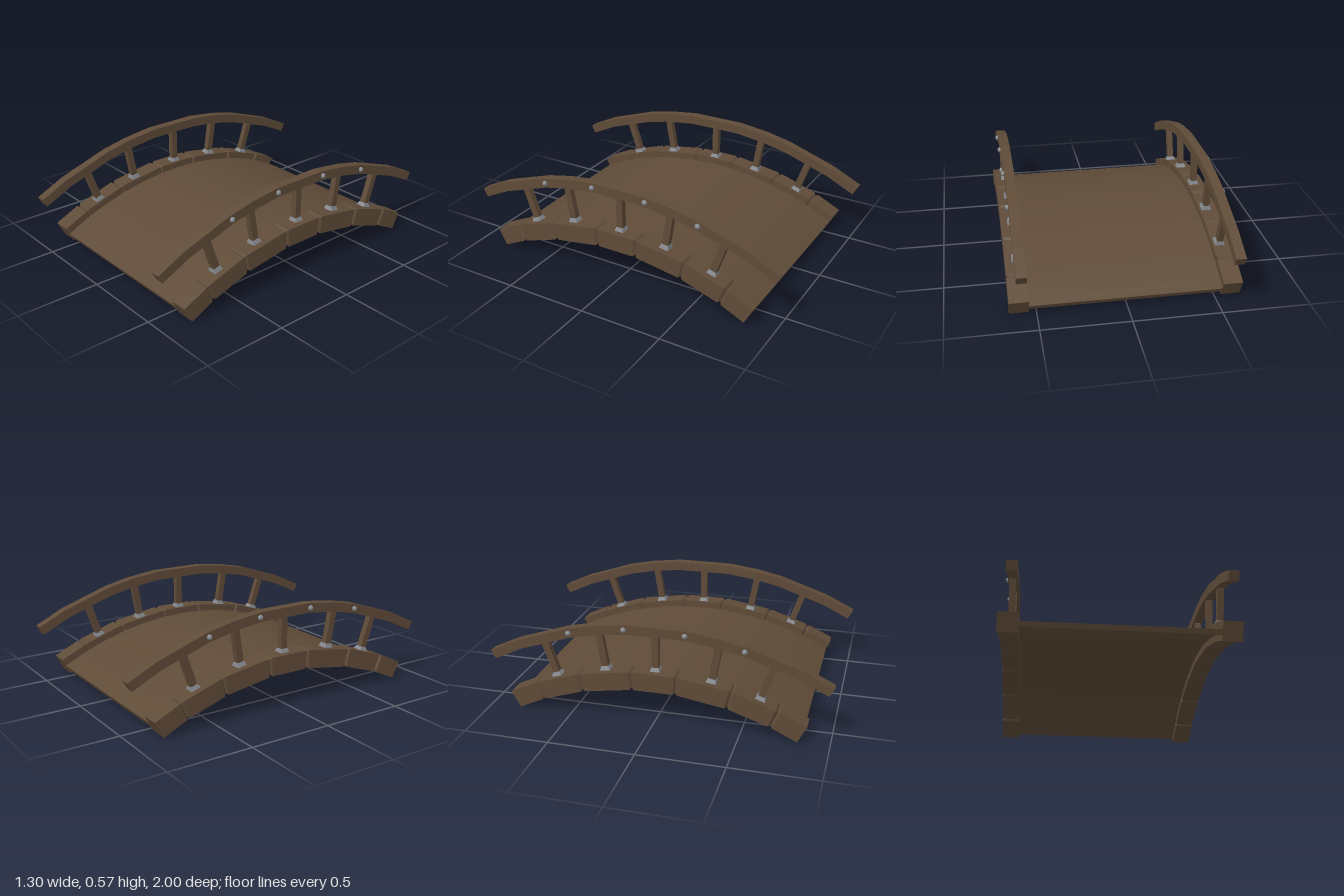
import * as THREE from 'three';
import { toCreasedNormals } from 'three/addons/utils/BufferGeometryUtils.js';

// Everything is set out radially around one arch centre below the ground.
const CENTRE_Y = -1.544;

const wood = new THREE.MeshStandardMaterial({ color: 0x5f4b38 });
wood.name = 'wood';
const metal = new THREE.MeshStandardMaterial({ color: 0x84888e });
metal.name = 'metal';

// Point on the arch: angle from vertical towards +z, at radius r
const arch = (angle, r) => ({ a: angle, y: CENTRE_Y + r * Math.cos(angle), z: r * Math.sin(angle) });

const mix = (p, q, t) => ({ a: p.a + (q.a - p.a) * t, y: p.y + (q.y - p.y) * t, z: p.z + (q.z - p.z) * t });

// Rectangular sections swept from -z to +z, with closed ends and flat faces
function loft(sections) {
  const pos = [];
  const rings = sections.map(({ a, y, z, w, h }) =>
    [[w, h], [-w, h], [-w, -h], [w, -h]].map(([x, n]) => [x, y + n * Math.cos(a), z + n * Math.sin(a)]));
  const quad = (a, b, c, d) => pos.push(...a, ...b, ...c, ...a, ...c, ...d);
  for (let i = 0; i < rings.length - 1; i++) {
    const p = rings[i], q = rings[i + 1];
    for (let k = 0; k < 4; k++) {
      const n = (k + 1) % 4;
      quad(p[k], p[n], q[n], q[k]);
    }
  }
  const s = rings[0], e = rings[rings.length - 1];
  quad(s[3], s[2], s[1], s[0]);
  quad(e[0], e[1], e[2], e[3]);
  const geo = new THREE.BufferGeometry();
  geo.setAttribute('position', new THREE.Float32BufferAttribute(pos, 3));
  geo.computeVertexNormals();
  return geo;
}

const mirrored = (angles) => [...angles.map((a) => -a).reverse(), ...angles];

// Stone-like wooden blocks in a row, with a bevelled groove at each joint
function beamGeometry() {
  const w = 0.055, h = 0.0545, inset = 0.011, bevel = 0.013;
  const joints = mirrored([0.072, 0.243, 0.391, 0.487]).map((a) => arch(a, 1.8055));
  const sections = [];
  joints.forEach((p, i) => {
    const isEnd = i === 0 || i === joints.length - 1;
    if (isEnd) {
      sections.push({ ...p, w, h });
      return;
    }
    const near = (q) => mix(p, q, bevel / Math.hypot(q.y - p.y, q.z - p.z));
    sections.push({ ...near(joints[i - 1]), w, h });
    sections.push({ ...p, w: w - inset, h: h - inset });
    sections.push({ ...near(joints[i + 1]), w, h });
  });
  return loft(sections);
}

function railGeometry() {
  return loft(mirrored([0.08, 0.17, 0.247, 0.4, 0.49]).map((a) => ({ ...arch(a, 2.099), w: 0.0285, h: 0.028 })));
}

function deckGeometry() {
  const n = 32, sections = [];
  for (let i = 0; i <= n; i++) {
    sections.push({ ...arch(-0.4875 + (0.975 * i) / n, 1.799), w: 0.545, h: 0.015 });
  }
  return toCreasedNormals(loft(sections), 0.2);
}

// Chamfered square foot plate
function footGeometry() {
  const geo = new THREE.CylinderGeometry(0.03, 0.042, 0.024, 4).rotateY(Math.PI / 4).toNonIndexed();
  geo.computeVertexNormals();
  return geo;
}

export function createModel() {
  const model = new THREE.Group();
  model.name = 'archedBridge';

  const add = (parent, geo, mat, name) => {
    const mesh = new THREE.Mesh(geo, mat);
    mesh.name = name;
    parent.add(mesh);
    return mesh;
  };

  add(model, deckGeometry(), wood, 'deck');

  const beam = beamGeometry();
  const rail = railGeometry();
  const post = new THREE.BoxGeometry(0.036, 0.24, 0.04);
  const foot = footGeometry();
  const bolt = new THREE.SphereGeometry(0.016, 12, 8);

  for (const [side, label] of [[1, 'left'], [-1, 'right']]) {
    const group = new THREE.Group();
    group.name = label + 'Side';
    model.add(group);
    const railX = side * 0.583;

    add(group, beam, wood, label + 'Beam').position.x = side * 0.595;
    add(group, rail, wood, label + 'Handrail').position.x = railX;

    // Posts lean outwards along the arch radius
    for (const a of [0.33, 0.175, 0, -0.16, -0.326]) {
      for (const [geo, mat, name, r] of [[post, wood, 'Post', 1.965], [foot, metal, 'PostFoot', 1.865]]) {
        const p = arch(a, r);
        const mesh = add(group, geo, mat, label + name);
        mesh.position.set(railX, p.y, p.z);
        mesh.rotation.x = a;
      }
    }

    // Round bolt heads on the outer face of the handrail
    for (const a of [0.245, 0.083, -0.085, -0.245]) {
      const p = arch(a, 2.099);
      add(group, bolt, metal, label + 'Bolt').position.set(side * 0.613, p.y, p.z);
    }
  }
  return model;
}
